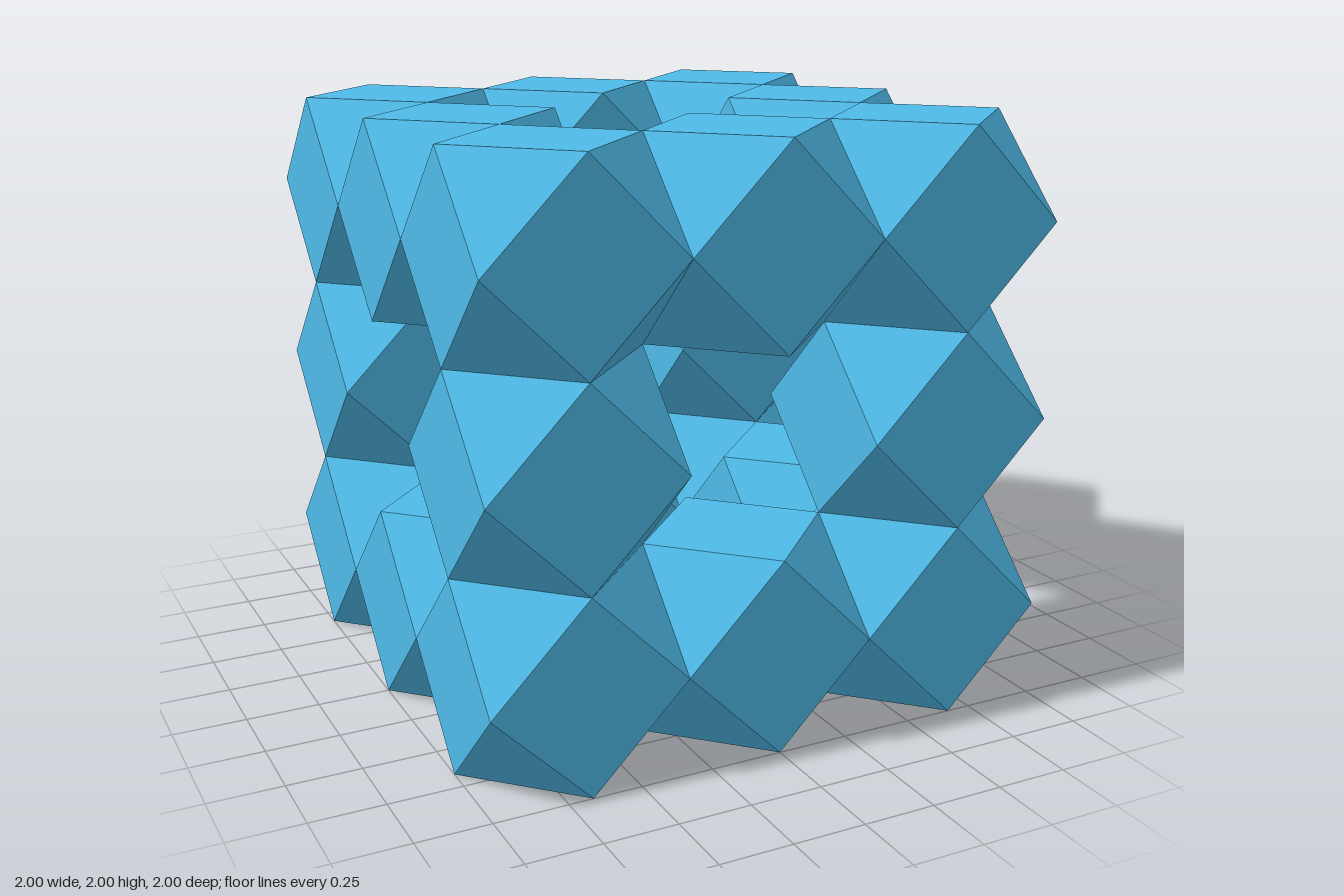
import * as THREE from 'three';
import { ConvexGeometry } from 'three/addons/geometries/ConvexGeometry.js';

const CELL = 2 / 3; // spacing of the 3 x 3 x 3 lattice
const R = CELL / 2;

// Cuboctahedron: the twelve edge midpoints of a cube
function cuboctahedron(r) {
  const points = [];
  for (const a of [-r, r]) {
    for (const b of [-r, r]) {
      points.push(
        new THREE.Vector3(a, b, 0),
        new THREE.Vector3(a, 0, b),
        new THREE.Vector3(0, a, b)
      );
    }
  }
  return new ConvexGeometry(points);
}

export function createModel() {
  const group = new THREE.Group();
  group.name = 'cuboctahedronSponge';
  const material = new THREE.MeshStandardMaterial({ color: 0x4fbbe9, flatShading: true });
  const geometry = cuboctahedron(R);

  // Keep the corner and edge cells; leave the face centres and the core open
  for (let i = -1; i <= 1; i++) {
    for (let j = -1; j <= 1; j++) {
      for (let k = -1; k <= 1; k++) {
        const offAxis = Math.abs(i) + Math.abs(j) + Math.abs(k);
        if (offAxis < 2) continue;
        const cell = new THREE.Mesh(geometry, material);
        cell.name = offAxis === 3 ? 'cornerCell' : 'edgeCell';
        cell.position.set(i * CELL, 1 + j * CELL, k * CELL);
        group.add(cell);
      }
    }
  }
  return group;
}
